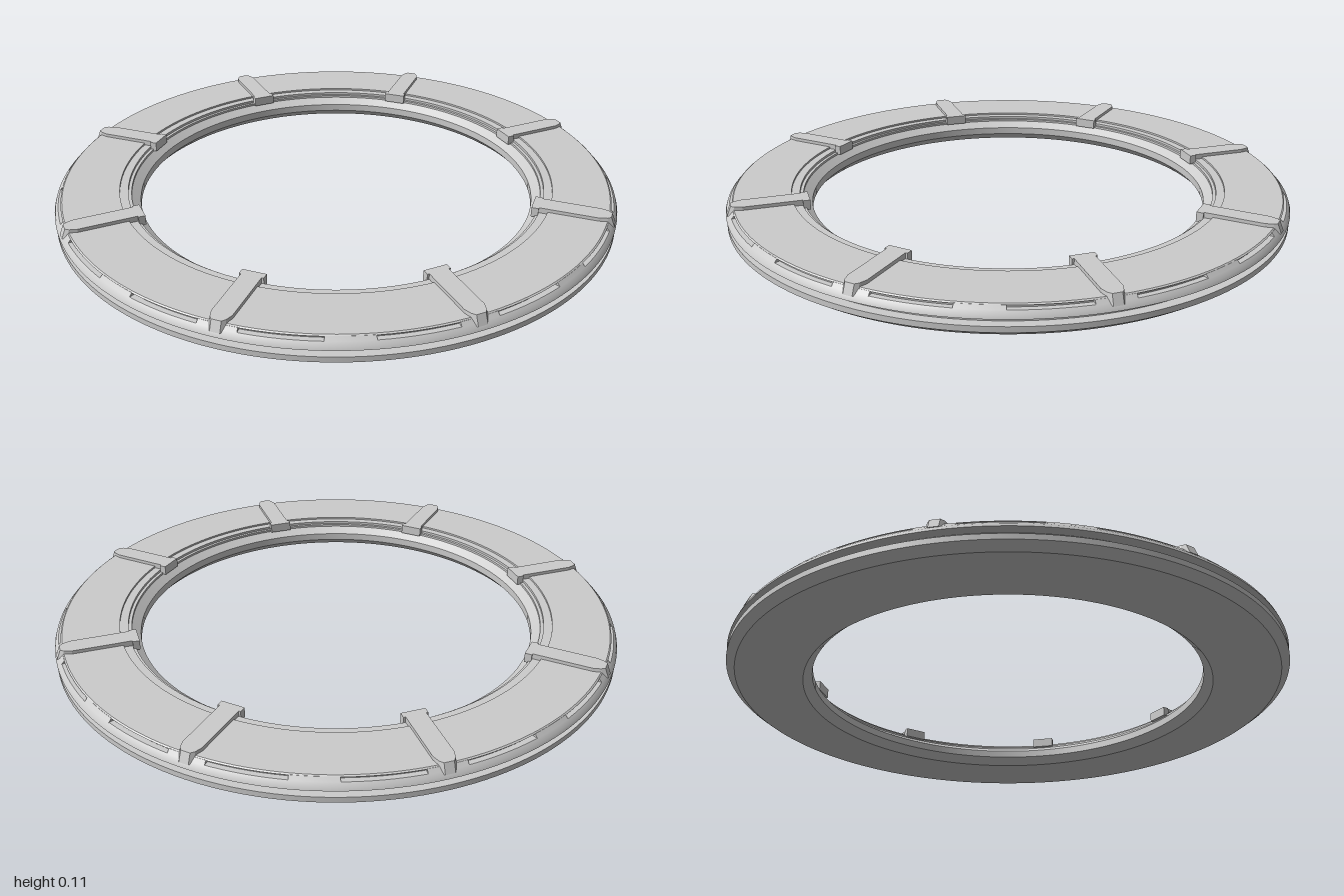
import * as THREE from 'three';
import { toCreasedNormals } from 'three/addons/utils/BufferGeometryUtils.js';

const material = new THREE.MeshStandardMaterial({ color: 0xcccccc, side: THREE.DoubleSide });
const toPoints = (list) => list.map(([r, y]) => new THREE.Vector2(r, y));

function addMesh(parent, name, geometry) {
  const mesh = new THREE.Mesh(geometry, material);
  mesh.name = name;
  parent.add(mesh);
  return mesh;
}

// Closed cross-section swept round the y axis
function sweep(section, segments, start = 0, length = Math.PI * 2) {
  const points = toPoints([...section, section[0]]);
  return toCreasedNormals(new THREE.LatheGeometry(points, segments, start, length), 0.4);
}

export function createModel() {
  const model = new THREE.Group();
  model.name = 'segmentedRing';

  // Ring body: chamfered base, side groove, slot channel in the rim, stepped inner lip
  addMesh(model, 'ringBody', sweep([
    [0.735, 0], [0.968, 0], [0.998, 0.022], [0.998, 0.041],
    [0.966, 0.041], [0.966, 0.064], [1.0, 0.064], [0.996, 0.075],
    [0.986, 0.086], [0.968, 0.086], [0.968, 0.096], [0.977, 0.096],
    [0.972, 0.1], [0.775, 0.1], [0.775, 0.093], [0.746, 0.093],
    [0.746, 0.084], [0.735, 0.084], [0.735, 0.076], [0.705, 0.055], [0.705, 0.028],
  ], 160));

  // Rim fillers close the channel between the slots, leaving two slots per sector
  const fillers = new THREE.Group();
  fillers.name = 'rimFillers';
  model.add(fillers);
  const fillerSection = [[0.966, 0.085], [0.987, 0.085], [0.9765, 0.097], [0.966, 0.097]];
  const deg = Math.PI / 180;
  for (let i = 0; i < 8; i++) {
    for (const [from, to] of [[-3.7, 3.7], [18.2, 26.8]]) {
      const start = (i * 45 + from) * deg;
      const length = (to - from) * deg;
      addMesh(fillers, 'rimFiller', sweep(fillerSection, 4, start, length));
      for (const phi of [start, start + length]) {
        const cap = addMesh(fillers, 'slotEnd', new THREE.ShapeGeometry(new THREE.Shape(toPoints(fillerSection))));
        cap.rotation.y = phi - Math.PI / 2;
      }
    }
  }

  // Radial rib: wide tab at the inner lip, tapered nose at the rim
  const half = [[0.72, 0.041], [0.744, 0.041], [0.744, 0.034], [0.945, 0.034], [0.97, 0.026], [0.982, 0.016]];
  const outline = [...half.map(([r, w]) => [r, -w]), ...half.map(([r, w]) => [r, w]).reverse()];
  const rib = new THREE.ExtrudeGeometry(new THREE.Shape(toPoints(outline)), { depth: 0.034, bevelEnabled: false });
  rib.rotateX(-Math.PI / 2).translate(0, 0.078, 0);
  // Slope the nose so that it follows the rim bevel
  const pos = rib.attributes.position;
  for (let i = 0; i < pos.count; i++) {
    if (pos.getX(i) > 0.96 && pos.getY(i) < 0.09) pos.setX(i, pos.getX(i) + 0.014);
  }
  rib.computeVertexNormals();
  const ribs = new THREE.Group();
  ribs.name = 'ribs';
  model.add(ribs);
  for (let i = 0; i < 8; i++) {
    addMesh(ribs, 'rib', rib).rotation.y = i * Math.PI / 4;
  }

  return model;
}
